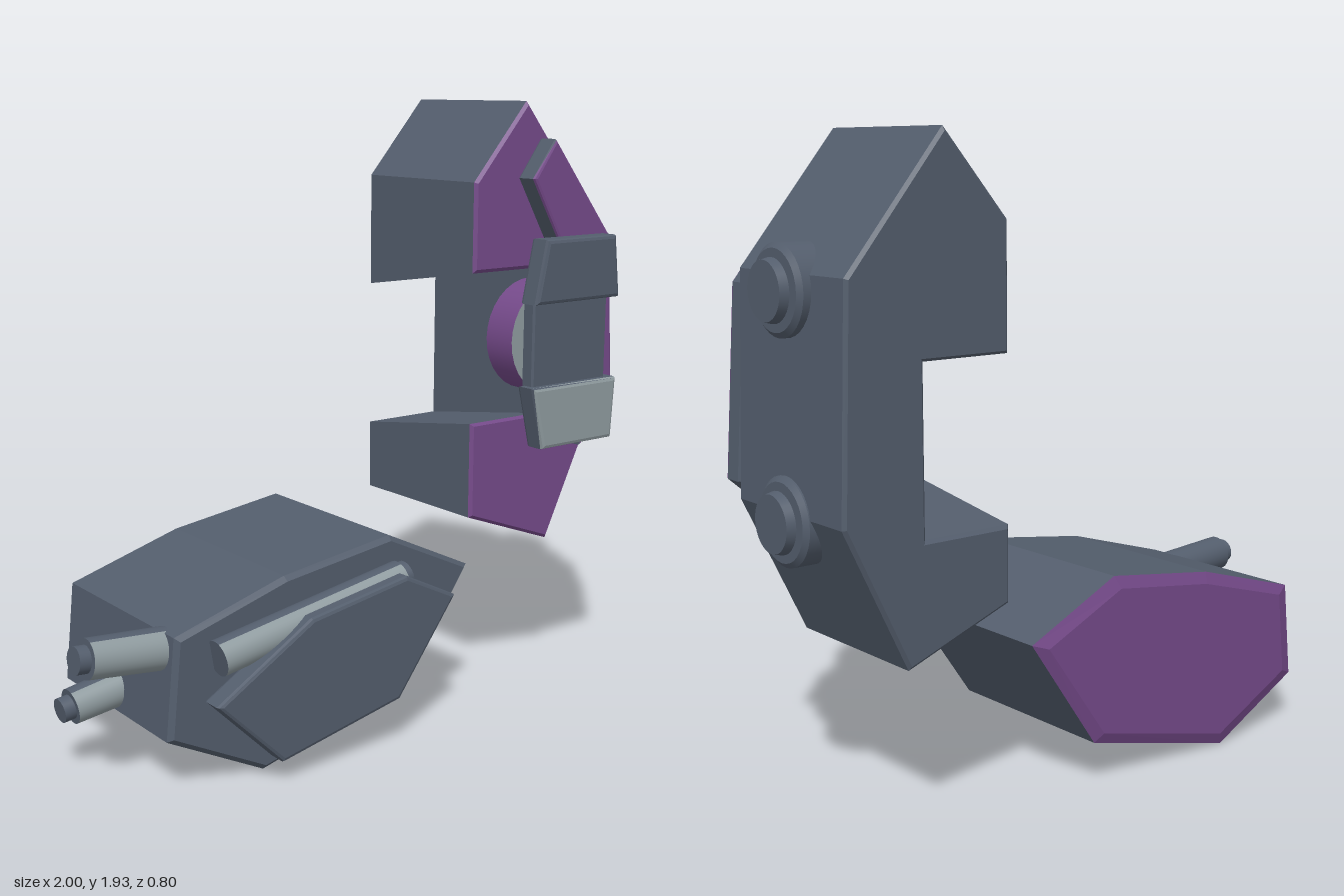
import * as THREE from 'three';

const material = (name, color) => {
  const m = new THREE.MeshStandardMaterial({ color });
  m.name = name;
  return m;
};

export function createModel() {
  const model = new THREE.Group();
  const slate = material('slate', 0x535d6c);
  const purple = material('purple', 0x754a8a);
  const steel = material('pale steel', 0x8f9b9f);

  // Colours each face by its direction: pick(nz) returns true for the accent
  const add = (group, name, geometry, base, accent, pick) => {
    let geo = geometry;
    let mats = base;
    if (accent) {
      geo = geometry.index ? geometry.toNonIndexed() : geometry;
      geo.clearGroups();
      const p = geo.attributes.position;
      const tri = new THREE.Triangle();
      const n = new THREE.Vector3();
      let start = 0, last = -1;
      for (let i = 0; i < p.count; i += 3) {
        tri.setFromAttributeAndIndices(p, i, i + 1, i + 2);
        tri.getNormal(n);
        const k = pick(n.z) ? 1 : 0;
        if (k !== last) {
          if (last >= 0) geo.addGroup(start, i - start, last);
          start = i;
          last = k;
        }
      }
      geo.addGroup(start, p.count - start, last);
      mats = [base, accent];
    }
    const mesh = new THREE.Mesh(geo, mats);
    mesh.name = name;
    group.add(mesh);
    return mesh;
  };
  const facingFront = (nz) => nz > 0.35;

  // Bevelled slab from an outline, filling z0 to z1
  const slab = (points, z0, z1, b, segments = 1) => {
    const shape = new THREE.Shape(points.map(([x, y]) => new THREE.Vector2(x, y)));
    const geo = new THREE.ExtrudeGeometry(shape, {
      depth: z1 - z0 - 2 * b, bevelEnabled: true, bevelThickness: b,
      bevelSize: b, bevelOffset: -b, bevelSegments: segments,
    });
    return geo.translate(0, 0, z0 + b);
  };

  // Moves vertices by a rule and rebuilds flat normals
  const reshape = (geo, rule) => {
    const p = geo.attributes.position;
    const v = new THREE.Vector3();
    for (let i = 0; i < p.count; i++) {
      rule(v.fromBufferAttribute(p, i));
      p.setXYZ(i, v.x, v.y, v.z);
    }
    geo.computeVertexNormals();
    return geo;
  };

  // Round rod between two points
  const rod = (from, to, r0, r1 = r0) => {
    const a = new THREE.Vector3(...from), b = new THREE.Vector3(...to);
    const dir = b.clone().sub(a);
    const geo = new THREE.CylinderGeometry(r1, r0, dir.length(), 32);
    geo.applyQuaternion(new THREE.Quaternion().setFromUnitVectors(
      new THREE.Vector3(0, 1, 0), dir.clone().normalize()));
    const mid = a.add(b).multiplyScalar(0.5);
    return geo.translate(mid.x, mid.y, mid.z);
  };

  // ---- Lying shell ----
  const lower = new THREE.Group();
  lower.name = 'lowerShell';
  model.add(lower);

  // Main block with a purple chamfered back
  const lowerBlock = reshape(slab([
    [-0.435, 0.002], [0.11, 0.14], [0.35, 0.49], [0.035, 0.64],
    [-0.355, 0.585], [-0.73, 0.475], [-0.76, 0.17],
  ], -0.4, 0.24, 0.015), (v) => {
    if (v.z < -0.395) {
      v.x = -0.2 + (v.x + 0.2) * 0.94;
      v.y = 0.33 + (v.y - 0.33) * 0.92;
    }
  });
  add(lower, 'lowerBlock', lowerBlock, slate, purple, (nz) => nz < -0.3);

  // Raised front panel and the bar tucked behind it
  add(lower, 'lowerPanel', slab([
    [-0.445, 0.07], [-0.015, 0.16], [0.2, 0.45], [0.01, 0.545],
    [-0.34, 0.485], [-0.665, 0.29],
  ], 0.275, 0.352, 0.012, 2), slate);
  add(lower, 'lowerBar', rod([-0.615, 0.402, 0.27], [0.04, 0.515, 0.27], 0.054),
    slate, steel, facingFront);
  add(lower, 'lowerBarTip', rod([0.04, 0.515, 0.27], [0.065, 0.519, 0.27], 0.045), slate);

  // End pins
  [
    { from: [-0.7, 0.418, 0.145], to: [-0.965, 0.442, 0.145], tip: [-1, 0.445, 0.145], r: 0.063 },
    { from: [-0.7, 0.242, -0.085], to: [-0.9, 0.21, -0.085], tip: [-0.935, 0.205, -0.085], r: 0.058 },
  ].forEach(({ from, to, tip, r }) => {
    add(lower, 'endPin', rod(from, to, r, r * 0.93), slate, steel, facingFront);
    add(lower, 'endPinTip', rod(to, tip, r * 0.64), slate);
  });

  // ---- Upright shell ----
  const upper = new THREE.Group();
  upper.name = 'uprightShell';
  model.add(upper);

  // Notched block; the notch slopes down towards the back
  const uprightBlock = reshape(slab([
    [0.617, 1.935], [0.405, 1.69], [0.405, 1.41], [0.69, 1.41],
    [0.69, 0.93], [0.405, 0.93], [0.405, 0.62], [0.75, 0.493],
    [0.952, 0.91], [0.93, 1.555],
  ], -0.355, 0.18, 0.01), (v) => {
    if (v.x < 0.75 && v.y > 0.85 && v.y < 1.5) v.y -= 0.085 * (0.18 - v.z) / 0.535;
  });
  add(upper, 'uprightBlock', uprightBlock, slate, purple, facingFront);

  // Raised rib along the outer edge
  add(upper, 'frontRib', slab([
    [0.65, 1.82], [0.56, 1.7], [0.66, 1.53], [0.78, 1.33],
    [0.795, 0.825], [0.938, 0.95], [0.9, 1.51],
  ], 0.2, 0.277, 0.01, 2), slate, purple, facingFront);

  // Round boss behind the clamp
  add(upper, 'clampBoss', rod([0.65, 1.2, 0.17], [0.65, 1.2, 0.286], 0.18),
    purple, steel, facingFront);

  // Clamp: centre plate with a jaw above and below
  add(upper, 'clampPlate', slab([
    [0.482, 1.04], [0.8, 1.04], [0.8, 1.35], [0.482, 1.35],
  ], 0.32, 0.37, 0.006), slate, steel, (nz) => nz < -0.9);
  add(upper, 'upperJaw', slab([
    [0.465, 1.328], [0.825, 1.328], [0.803, 1.525], [0.507, 1.525],
  ], 0.325, 0.4, 0.012, 2), slate);
  add(upper, 'lowerJaw', slab([
    [0.507, 0.873], [0.81, 0.873], [0.823, 1.07], [0.46, 1.07],
  ], 0.325, 0.4, 0.012, 2), slate, steel, facingFront);

  // Side bolts
  [1.51, 0.886].forEach((y) => {
    const z = -0.07;
    add(upper, 'boltBase', rod([0.85, y, z], [0.955, y, z], 0.127), slate, steel, facingFront);
    add(upper, 'boltRim', rod([0.955, y, z], [0.968, y, z], 0.127, 0.112), slate);
    add(upper, 'boltNeck', rod([0.96, y, z], [0.98, y, z], 0.075), slate);
    add(upper, 'boltCap', rod([0.973, y, z], [0.999, y, z], 0.088, 0.082), slate);
  });

  return model;
}
